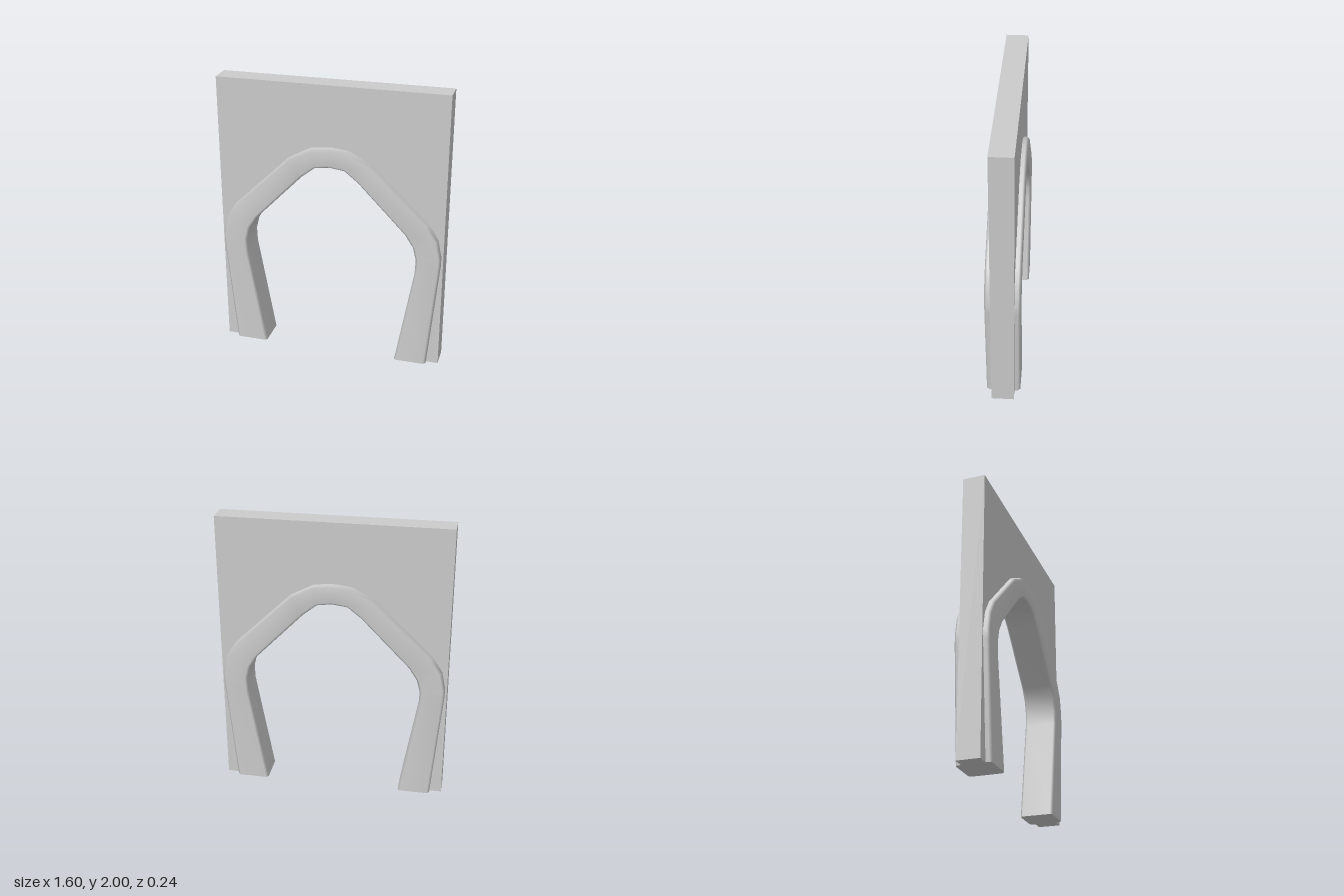
import * as THREE from 'three';
import { mergeGeometries } from 'three/addons/utils/BufferGeometryUtils.js';

const WALL_DEPTH = 0.156;
const TRIM_HALF = 0.118;
const BEVEL = 0.016;

// Arch stations on the +x half, foot to crown: inner point, outer point
const HALF = [
  [[0.485, 0], [0.715, 0]],
  [[0.61, 0.72], [0.785, 0.78]],
  [[0.614, 0.82], [0.787, 0.85]],
  [[0.592, 0.91], [0.76, 0.98]],
  [[0.535, 1.0], [0.69, 1.09]],
  [[0.2, 1.345], [0.29, 1.475]],
  [[0.105, 1.42], [0.13, 1.56]],
  [[0, 1.435], [0, 1.573]],
];
const flip = ([x, y]) => [-x, y];
const STATIONS = [...HALF, ...HALF.slice(0, -1).reverse().map((s) => s.map(flip))];

function makeGeometry(positions, index) {
  const g = new THREE.BufferGeometry();
  g.setAttribute('position', new THREE.Float32BufferAttribute(positions, 3));
  g.setIndex(index);
  g.computeVertexNormals();
  return g;
}

// Bevelled rectangular section spanning one station from inner to outer edge
function section([inner, outer]) {
  const a = new THREE.Vector2(...inner), b = new THREE.Vector2(...outer);
  const t = BEVEL / a.distanceTo(b), h = TRIM_HALF, c = h - BEVEL;
  return [[0, -c], [0, c], [t, h], [1 - t, h], [1, c], [1, -c], [1 - t, -h], [t, -h]]
    .map(([u, z]) => {
      const p = a.clone().lerp(b, u);
      return [p.x, p.y, z];
    });
}

// Smooth trim swept through all stations, with flat feet
function archTrimGeometry() {
  const rings = STATIONS.map(section), n = rings[0].length;
  const index = [];
  for (let i = 0; i < rings.length - 1; i++) {
    for (let j = 0; j < n; j++) {
      const a = i * n + j, b = i * n + ((j + 1) % n);
      index.push(a, b, a + n, b, b + n, a + n);
    }
  }
  const sides = makeGeometry(rings.flat(2), index);
  const cap = (ring, reverse) => {
    const fan = [];
    for (let j = 1; j < n - 1; j++) fan.push(0, ...(reverse ? [j + 1, j] : [j, j + 1]));
    return makeGeometry(ring.flat(), fan);
  };
  return mergeGeometries([sides, cap(rings[0], true), cap(rings.at(-1), false)]);
}

// Wall slab whose opening is hidden inside the trim
function wallGeometry() {
  const opening = STATIONS.map(([a, b]) =>
    new THREE.Vector2(...a).lerp(new THREE.Vector2(...b), 0.5));
  const shape = new THREE.Shape([
    new THREE.Vector2(0.8, 0), new THREE.Vector2(0.8, 2),
    new THREE.Vector2(-0.8, 2), new THREE.Vector2(-0.8, 0),
    ...opening.reverse(),
  ]);
  return new THREE.ExtrudeGeometry(shape, { depth: WALL_DEPTH, bevelEnabled: false })
    .translate(0, 0, -WALL_DEPTH / 2);
}

export function createModel() {
  const group = new THREE.Group();
  group.name = 'archedDoorway';
  const material = new THREE.MeshStandardMaterial({ color: 0xcccccc });
  const add = (name, geometry) => {
    const mesh = new THREE.Mesh(geometry, material);
    mesh.name = name;
    group.add(mesh);
  };
  add('wall', wallGeometry());
  add('archTrim', archTrimGeometry());
  return group;
}
